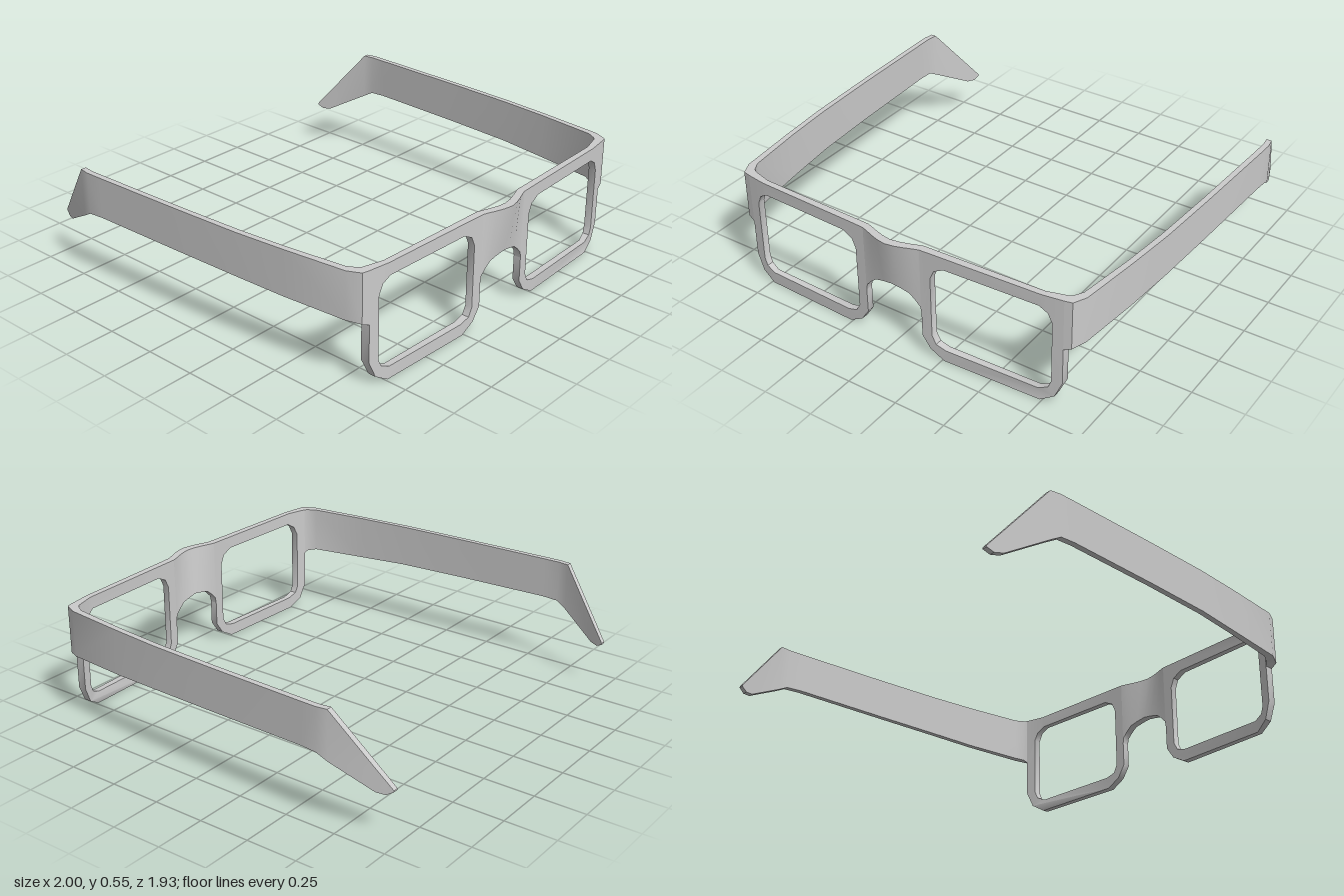
import * as THREE from 'three';
import { toCreasedNormals } from 'three/addons/utils/BufferGeometryUtils.js';

const material = new THREE.MeshStandardMaterial({ color: 0xcccccc });

// Piecewise-linear lookup in a list of [x, value] pairs
function lookup(table, x) {
  for (let i = 1; i < table.length; i++) {
    const [x0, v0] = table[i - 1], [x1, v1] = table[i];
    if (x <= x1) return v0 + (v1 - v0) * Math.max(0, (x - x0) / (x1 - x0));
  }
  return table[table.length - 1][1];
}

// Gentle wrap of the front frame, seen from above
const FRONT = [[0, 0.93], [0.2, 0.918], [0.74, 0.895], [0.84, 0.88]];
const BACK = [[0, 0.89], [0.2, 0.883], [0.74, 0.865], [0.84, 0.837]];

// Loft four-cornered sections: outer top, inner top, inner bottom, outer bottom
function loft(sections, side = 1) {
  const pos = [];
  const secs = sections.map((s) => s.map(([x, y, z]) => [x * side, y, z]));
  const tri = (a, b, c) => pos.push(...(side > 0 ? [a, b, c] : [a, c, b]).flat());
  const quad = (a, b, c, d) => { tri(a, b, c); tri(a, c, d); };
  for (let i = 0; i < secs.length - 1; i++) {
    const s = secs[i], t = secs[i + 1];
    for (let j = 0; j < 4; j++) {
      const k = (j + 1) % 4;
      quad(s[j], t[j], t[k], s[k]);
    }
  }
  quad(...secs[0]);
  quad(...[...secs[secs.length - 1]].reverse());
  const geo = new THREE.BufferGeometry();
  geo.setAttribute('position', new THREE.Float32BufferAttribute(pos, 3));
  return toCreasedNormals(geo, 0.6);
}

function part(name, geometry) {
  const mesh = new THREE.Mesh(geometry, material);
  mesh.name = name;
  return mesh;
}

// Lens rim: plate with a chamfered window, bent to the frame's wrap
function rimGeometry(side) {
  const points = (list) => list.map(([x, y]) => new THREE.Vector2(x * side, y));
  const shape = new THREE.Shape(points([
    [0.15, 0.55], [0.15, 0.22], [0.15, 0.1], [0.19, 0.04], [0.26, 0], [0.74, 0],
    [0.805, 0.04], [0.84, 0.12], [0.84, 0.3], [0.84, 0.55], [0.74, 0.55], [0.2, 0.55],
  ]));
  shape.holes.push(new THREE.Path(points([
    [0.2, 0.42], [0.22, 0.465], [0.27, 0.49], [0.73, 0.49], [0.77, 0.465], [0.79, 0.42],
    [0.79, 0.115], [0.775, 0.08], [0.73, 0.06], [0.27, 0.06], [0.22, 0.075], [0.2, 0.115],
  ])));
  const geo = new THREE.ExtrudeGeometry(shape, { depth: 1, bevelEnabled: false });
  const p = geo.attributes.position;
  for (let i = 0; i < p.count; i++) {
    const x = Math.abs(p.getX(i));
    p.setZ(i, THREE.MathUtils.lerp(lookup(BACK, x), lookup(FRONT, x), p.getZ(i)));
  }
  return toCreasedNormals(geo, 0.6);
}

// Nose bridge: arched underside, top edge swelling forward; rows are x, underside y, swell
function bridgeGeometry() {
  const half = [
    [0, 0.32, 0.035], [0.045, 0.313, 0.03], [0.09, 0.302, 0.018],
    [0.12, 0.277, 0.008], [0.145, 0.25, 0.001], [0.15, 0.22, 0],
  ];
  const rows = [...half.slice(1).reverse().map(([x, y, s]) => [-x, y, s]), ...half];
  return loft(rows.map(([x, y, swell]) => {
    const f = lookup(FRONT, Math.abs(x)), b = lookup(BACK, Math.abs(x));
    return [[x, 0.55, f + swell], [x, 0.55, b + swell], [x, y, b], [x, y, f]];
  }));
}

// Temple arm with corner; rows are outer x, z, inner x, z, top y, bottom y
function templeGeometry(side) {
  const rows = [
    [0.84, 0.88, 0.84, 0.837, 0.55, 0.3],
    [0.875, 0.872, 0.852, 0.825, 0.55, 0.315],
    [0.905, 0.81, 0.875, 0.785, 0.55, 0.323],
    [0.94, 0.5, 0.912, 0.5, 0.55, 0.33],
    [0.963, 0.25, 0.935, 0.25, 0.55, 0.34],
    [0.98, -0.1, 0.953, -0.1, 0.55, 0.345],
    [0.998, -0.58, 0.97, -0.58, 0.55, 0.35],
    [1.0, -0.66, 0.972, -0.66, 0.55, 0.345],
    [0.992, -0.71, 0.965, -0.71, 0.55, 0.317],
    [0.924, -0.9, 0.897, -0.9, 0.316, 0.21],
    [0.909, -0.94, 0.883, -0.94, 0.267, 0.205],
    [0.898, -0.97, 0.873, -0.97, 0.23, 0.223],
  ];
  return loft(rows.map(([ox, oz, ix, iz, top, bottom]) => [
    [ox, top, oz], [ix, top, iz], [ix, bottom, iz], [ox, bottom, oz],
  ]), side);
}

export function createModel() {
  const group = new THREE.Group();
  group.name = 'eyeglassFrame';
  group.add(part('noseBridge', bridgeGeometry()));
  for (const [label, side] of [['left', 1], ['right', -1]]) {
    group.add(part(label + 'Rim', rimGeometry(side)));
    group.add(part(label + 'Temple', templeGeometry(side)));
  }
  return group;
}
